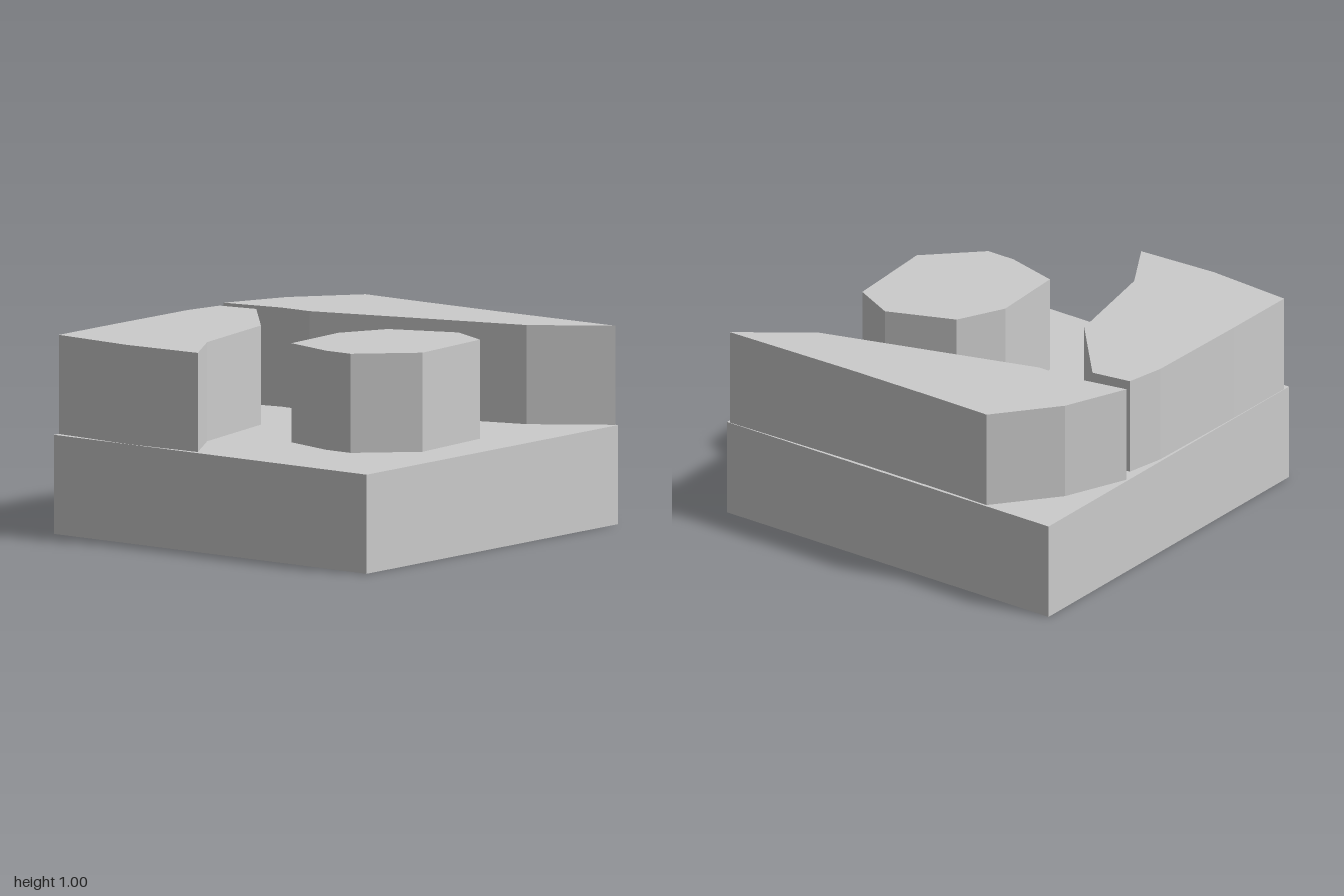
import * as THREE from 'three';

const BASE_HEIGHT = 0.5;
const BLOCK_HEIGHT = 0.5;

// Plan outlines of the raised blocks as [x, z] corners
const OUTLINES = {
  backBlock: [
    [-0.99, -0.337], [-0.857, -0.672], [-0.605, -0.988], [-0.27, -0.983], [0.25, -0.983],
    [0.985, -0.997], [0.627, -0.736], [-0.49, -0.399], [-0.67, -0.399],
  ],
  rightBlock: [
    [-0.948, -0.254], [-0.74, -0.287], [-0.396, 0.104], [-0.278, 0.678], [-0.102, 0.972],
    [-0.535, 0.997], [-0.997, 0.964], [-0.995, 0.55], [-0.985, -0.05],
  ],
  centralBlock: [
    [0.509, -0.343], [0.732, -0.233], [0.766, 0.265], [0.509, 0.517],
    [0.353, 0.517], [0.07, 0.442], [0.047, 0.04], [0.166, -0.206],
  ],
};

export function createModel() {
  const model = new THREE.Group();
  const material = new THREE.MeshStandardMaterial({ color: 0xcccccc, flatShading: true });

  // Square ground slab
  const base = new THREE.Mesh(new THREE.BoxGeometry(2, BASE_HEIGHT, 2), material);
  base.name = 'base';
  base.position.y = BASE_HEIGHT / 2;
  model.add(base);

  // Straight-walled blocks standing on the slab
  for (const [name, outline] of Object.entries(OUTLINES)) {
    const shape = new THREE.Shape(outline.map(([x, z]) => new THREE.Vector2(x, -z)));
    const geometry = new THREE.ExtrudeGeometry(shape, { depth: BLOCK_HEIGHT, bevelEnabled: false });
    geometry.rotateX(-Math.PI / 2);
    const block = new THREE.Mesh(geometry, material);
    block.name = name;
    block.position.y = BASE_HEIGHT;
    model.add(block);
  }
  return model;
}
